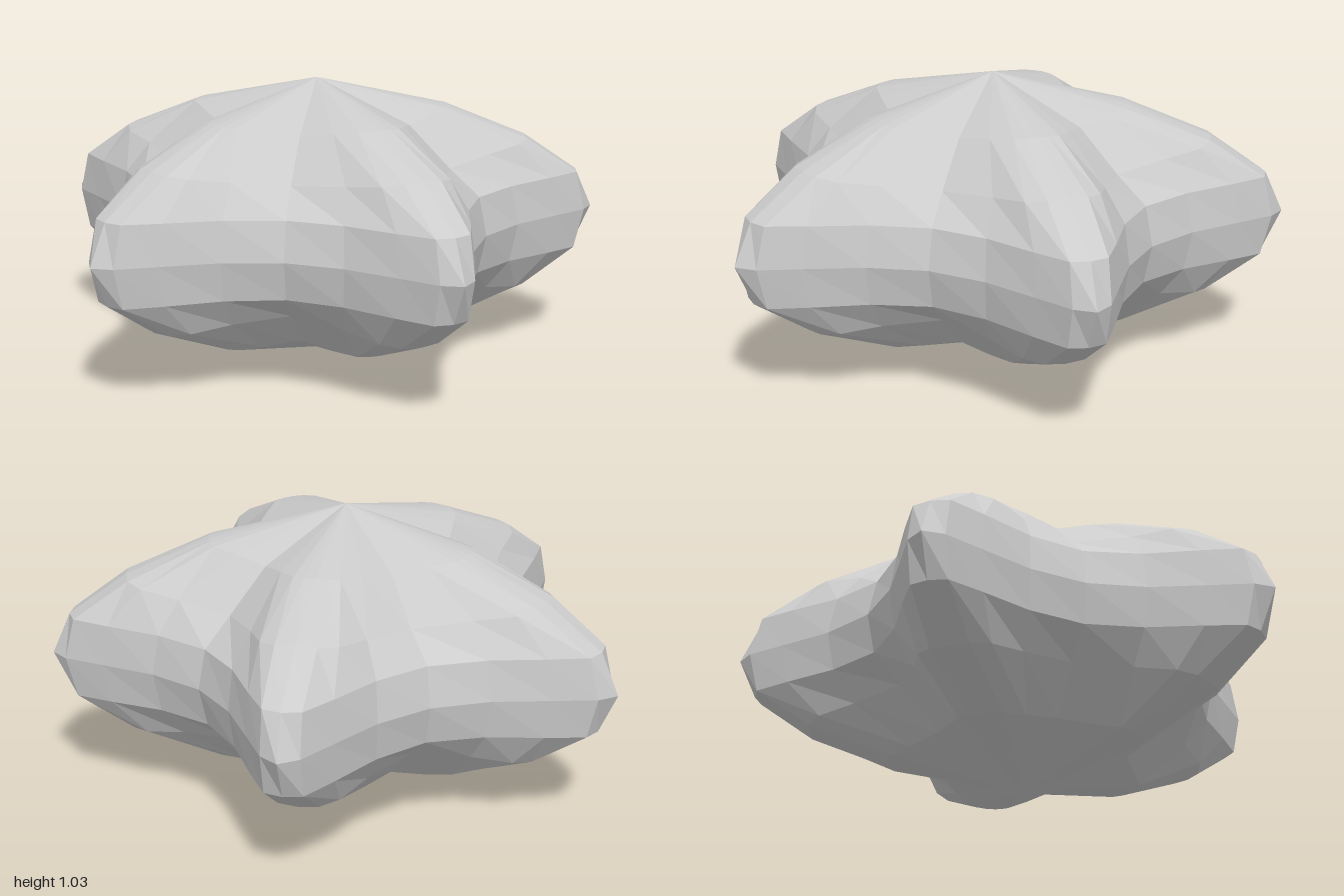
import * as THREE from 'three';

// Half an arm per ring, tip to valley: [sideways, outward, height from the middle plane]
const RINGS = [
  [[0, 0.485, 0.405], [0.04, 0.485, 0.403], [0.08, 0.47, 0.40], [0.14, 0.40, 0.39], [0.22, 0.30, 0.37]],
  [[0, 0.78, 0.285], [0.07, 0.775, 0.28], [0.13, 0.73, 0.27], [0.195, 0.60, 0.25], [0.31, 0.43, 0.23]],
  [[0, 0.985, 0.145], [0.065, 0.97, 0.145], [0.14, 0.85, 0.143], [0.24, 0.675, 0.14], [0.38, 0.52, 0.138]],
  [[0, 1.05, 0], [0.065, 1.005, 0], [0.14, 0.88, 0], [0.25, 0.70, 0], [0.397, 0.546, 0]],
];
const ARMS = 5, MID = 0.515, CENTRE_Z = -0.1;

// Repeat the half arm, mirrored and turned, into a closed ring
function makeRing(half, side) {
  const points = [];
  for (let k = 0; k < ARMS; k++) {
    const angle = (k * Math.PI * 2) / ARMS;
    const mirrored = half.slice(1, 4).reverse().map(([u, w, h]) => [-u, w, h]);
    for (const [u, w, h] of [...mirrored, ...half]) {
      points.push(new THREE.Vector3(u, MID + side * h, w)
        .sub(new THREE.Vector3(0, MID, 0))
        .applyAxisAngle(new THREE.Vector3(0, 1, 0), angle)
        .add(new THREE.Vector3(0, MID, CENTRE_Z)));
    }
  }
  return points;
}

export function createModel() {
  const group = new THREE.Group();
  group.name = 'puffyStar';

  // Rings from top to bottom, sharing the widest one
  const rings = [
    ...RINGS.map((r) => makeRing(r, 1)),
    ...RINGS.slice(0, 3).reverse().map((r) => makeRing(r, -1)),
  ];
  const n = rings[0].length;
  const points = [...rings.flat(),
    new THREE.Vector3(0, MID * 2, CENTRE_Z), new THREE.Vector3(0, 0, CENTRE_Z)];
  const top = points.length - 2, bottom = points.length - 1;
  const last = (rings.length - 1) * n;

  const index = [];
  for (let j = 0; j < n; j++) {
    const next = (j + 1) % n;
    index.push(top, j, next, bottom, last + next, last + j);
    for (let i = 0; i < rings.length - 1; i++) {
      const a = i * n + j, b = i * n + next;
      index.push(a, a + n, b + n, a, b + n, b);
    }
  }

  const geometry = new THREE.BufferGeometry().setFromPoints(points);
  geometry.setIndex(index);
  geometry.computeVertexNormals();
  const star = new THREE.Mesh(geometry,
    new THREE.MeshStandardMaterial({ color: 0xcccccc, flatShading: true }));
  star.name = 'starBody';
  group.add(star);
  return group;
}
